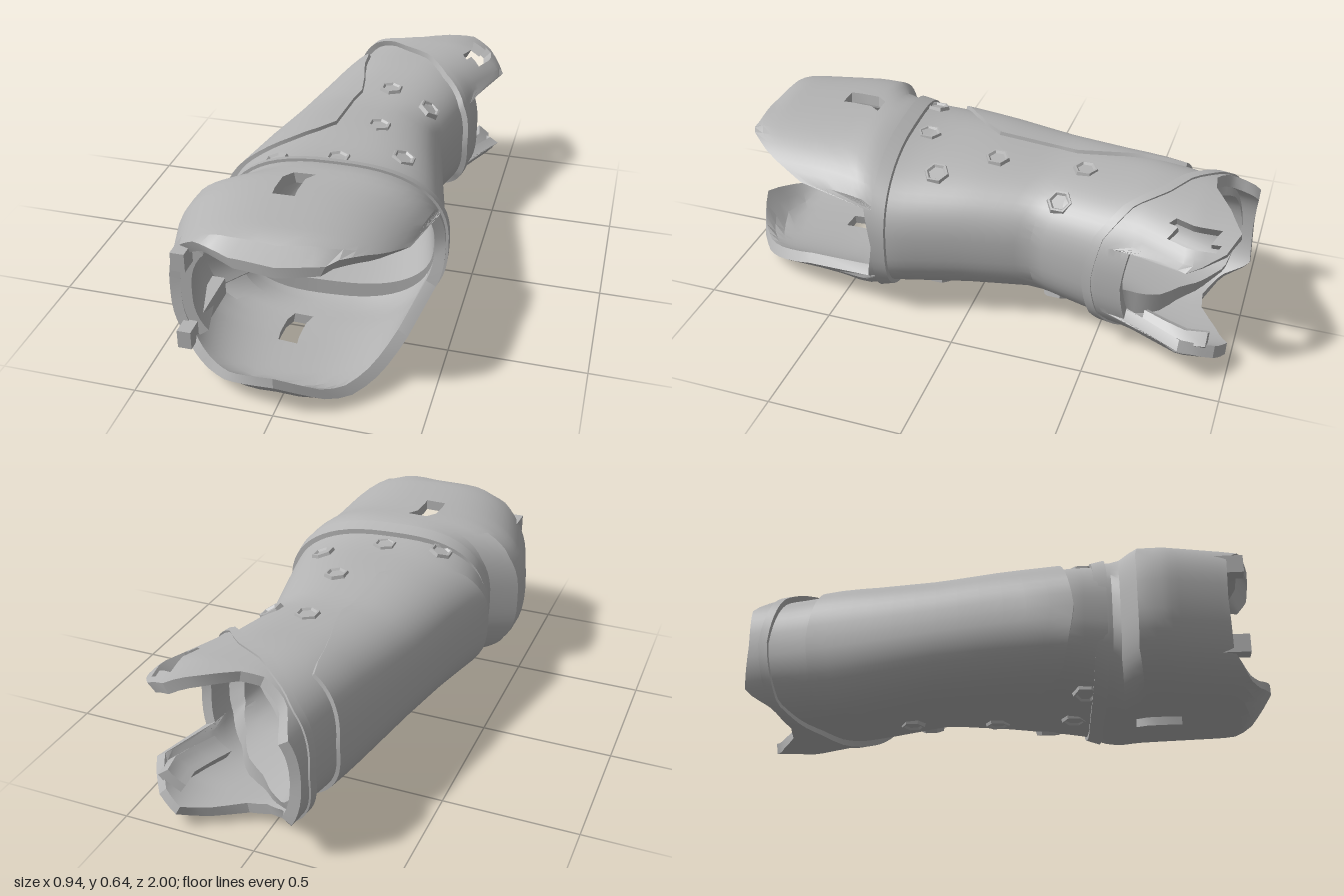
import * as THREE from 'three';
import { toCreasedNormals } from 'three/addons/utils/BufferGeometryUtils.js';

const POWER = 2.6; // squareness of the oval cross-section
const lerpTable = (rows, t) => {
  if (t <= rows[0][0]) return rows[0].slice(1);
  for (let i = 1; i < rows.length; i++) {
    const a = rows[i - 1], b = rows[i];
    if (t <= b[0]) return a.slice(1).map((v, k) => v + (b[k + 1] - v) * (t - a[0]) / (b[0] - a[0]));
  }
  return rows[rows.length - 1].slice(1);
};

// Cross-sections: z, left edge, right edge, bottom, top
const OUTER = [
  [-1, -0.165, 0.45, 0.05, 0.59], [-0.83, -0.19, 0.485, 0.05, 0.6], [-0.62, -0.23, 0.385, 0.05, 0.6],
  [-0.5, -0.255, 0.37, 0.06, 0.59], [-0.25, -0.305, 0.315, 0.08, 0.575], [0, -0.355, 0.37, 0.07, 0.59],
  [0.25, -0.41, 0.43, 0.05, 0.59], [0.36, -0.38, 0.44, 0.03, 0.61],
];
const INNER = [
  [-1, -0.13, 0.42, 0.09, 0.55], [-0.85, -0.14, 0.44, 0.12, 0.53], [-0.5, -0.19, 0.28, 0.19, 0.47],
  [-0.25, -0.24, 0.265, 0.18, 0.48], [0, -0.28, 0.32, 0.15, 0.5], [0.36, -0.33, 0.41, 0.12, 0.54],
];
const CUP = [
  [0.28, -0.38, 0.44, 0.045, 0.6], [0.38, -0.37, 0.45, 0.01, 0.635], [0.43, -0.36, 0.44, 0.003, 0.64],
  [0.5, -0.48, 0.435, 0, 0.64], [0.6, -0.48, 0.425, 0, 0.64], [0.83, -0.415, 0.42, 0.01, 0.64],
  [0.89, -0.4, 0.41, 0.015, 0.635], [0.94, -0.39, 0.4, 0.05, 0.56], [1, -0.38, 0.39, 0.12, 0.54],
];
// Edge lines: angle in degrees (0 = model's left, 90 = top), z
const CUP_FRONT = [
  [0, 0.33], [24, 0.36], [30, 0.63], [45, 0.78], [60, 0.88], [72, 0.92], [90, 0.94], [108, 0.93], [125, 0.9],
  [140, 0.86], [150, 0.83], [180, 0.82], [210, 0.83], [220, 0.86], [235, 0.9], [250, 0.95], [270, 1],
  [288, 0.94], [300, 0.88], [315, 0.78], [330, 0.63], [336, 0.36], [360, 0.33],
];
const fold = (rows) => (a) => lerpTable(rows, a > 180 ? 360 - a : a)[0];
const cuffBack = fold([
  [0, -0.6], [24, -0.62], [30, -0.83], [36, -0.88], [48, -0.95], [66, -0.985], [84, -0.93], [96, -0.86],
  [108, -0.85], [130, -0.9], [148, -1], [180, -0.99],
]);
const cuffLine = fold([[0, -0.46], [30, -0.49], [60, -0.57], [90, -0.71], [110, -0.8], [135, -0.88], [180, -0.92]]);
const panelBack = fold([[90, -0.2], [100, -0.4], [112, -0.55], [124, -0.72], [180, -0.76]]);
const panelFront = fold([[90, -0.08], [100, 0.04], [115, 0.14], [135, 0.22], [180, 0.27]]);
const strapLine = (a) => 0.335 - 0.035 * Math.cos(a * Math.PI / 180);

function ovalPoint([x0, x1, y0, y1], deg, z, offset) {
  const r = deg * Math.PI / 180, c = Math.cos(r), s = Math.sin(r);
  const bend = (v) => Math.sign(v) * Math.abs(v) ** (2 / POWER);
  return [
    (x0 + x1) / 2 + ((x1 - x0) / 2 + offset) * bend(c),
    (y0 + y1) / 2 + ((y1 - y0) / 2 + offset) * bend(s), z];
}

// Thick curved sheet between two edge lines; cells inside a hole are left out and walled
function shell({ back, front, section = OUTER, inner = section, out = 0, thick = 0, from = 0, to = 360, rows = 10, hole = () => false }) {
  const step = 6, cols = Math.round((to - from) / step), pos = [];
  const zAt = (i, j) => {
    const a = from + i * step;
    return back(a) + (front(a) - back(a)) * j / rows;
  };
  const point = (i, j, side) => {
    const z = zAt(i, j), a = from + i * step;
    return side ? ovalPoint(lerpTable(inner, z), a, z, out - thick) : ovalPoint(lerpTable(section, z), a, z, out);
  };
  const quad = (a, b, c, d) => pos.push(...a, ...b, ...c, ...a, ...c, ...d);
  const wrap = to - from === 360;
  const solid = (i, j) => {
    if (wrap) i = (i + cols) % cols;
    if (i < 0 || j < 0 || i >= cols || j >= rows) return false;
    return !hole(from + (i + 0.5) * step, (zAt(i, j) + zAt(i + 1, j + 1)) / 2);
  };
  for (let i = 0; i < cols; i++) for (let j = 0; j < rows; j++) {
    if (!solid(i, j)) continue;
    const corners = [[i, j], [i + 1, j], [i + 1, j + 1], [i, j + 1]];
    const o = corners.map(([u, v]) => point(u, v, 0)), n = corners.map(([u, v]) => point(u, v, 1));
    quad(...o);
    quad(n[3], n[2], n[1], n[0]);
    [[i, j - 1], [i + 1, j], [i, j + 1], [i - 1, j]].forEach(([u, v], k) => {
      const m = (k + 1) % 4;
      if (!solid(u, v)) quad(o[k], n[k], n[m], o[m]);
    });
  }
  const geo = new THREE.BufferGeometry();
  geo.setAttribute('position', new THREE.Float32BufferAttribute(pos, 3));
  return toCreasedNormals(geo, 0.4);
}

export function createModel() {
  const group = new THREE.Group();
  const grey = new THREE.MeshStandardMaterial({ color: 0xb4b4b4, side: THREE.DoubleSide });
  grey.name = 'grey';
  const add = (name, geo) => {
    const mesh = new THREE.Mesh(geo, grey);
    mesh.name = name;
    group.add(mesh);
    return mesh;
  };

  // Main hollow sleeve
  add('sleeve', shell({ back: (a) => cuffLine(a) - 0.03, front: (a) => strapLine(a) + 0.02, inner: INNER, rows: 16 }));

  // Raised panel along the right flank
  add('sidePanel', shell({ back: panelBack, front: panelFront, out: 0.014, thick: 0.03, from: 96, to: 264, rows: 12 }));

  // Front cup with upper and lower tongues whose tips turn inward, open on the left
  add('frontCup', shell({
    back: (a) => strapLine(a) - 0.02, front: (a) => lerpTable(CUP_FRONT, a)[0], section: CUP, thick: 0.04, rows: 16,
    hole: (a, z) => a > 90 && a < 96 && z > 0.47 && z < 0.62 || a > 264 && a < 270 && z > 0.5 && z < 0.64,
  }));

  // Band where the cup meets the sleeve
  add('frontBand', shell({
    back: (a) => strapLine(a) - 0.025, front: (a) => strapLine(a) + 0.025, section: CUP, out: 0.01, thick: 0.04, rows: 2,
  }));

  // Padding and two straight rails inside the cup's closed wall
  add('cupPadding', shell({
    back: () => 0.4, front: () => 0.82, section: CUP, out: -0.03, thick: 0.05, from: 144, to: 216, rows: 6,
  }));
  for (const y of [0.485, 0.165]) add('cupRail', new THREE.BoxGeometry(0.05, 0.07, 0.34)).position.set(-0.35, y, 0.72);

  // Rear cuff with an upper and a lower lobe
  add('rearCuff', shell({
    back: cuffBack, front: cuffLine, out: 0.015, thick: 0.04, rows: 12,
    hole: (a, z) => a > 48 && a < 66 && z > -0.91 && z < -0.76,
  }));

  // Thick padding inside the lower lobe
  add('lowerLobePad', shell({
    back: () => -0.92, front: () => -0.68, out: -0.015, thick: 0.05, from: 300, to: 324, rows: 3,
  }));

  // Raised edge of the cuff
  add('rearBand', shell({
    back: (a) => cuffLine(a) - 0.03, front: (a) => cuffLine(a) + 0.005, out: 0.022, thick: 0.03, rows: 2,
  }));

  // Six-sided eyelets on the top and underside
  const profile = [[0.052, -0.015], [0.045, 0.01], [0.037, 0.01], [0.03, 0.002], [0, 0.002]];
  const eyelet = new THREE.LatheGeometry(profile.map(([x, y]) => new THREE.Vector2(x, y)), 6).toNonIndexed();
  eyelet.computeVertexNormals();
  const spots = [[0.07, -0.38], [0.24, -0.33], [0.1, -0.05], [0.24, 0.14], [0.02, 0.25], [-0.2, 0.3]];
  for (const side of [1, -1]) for (const [x, z] of spots) {
    const [x0, x1, y0, y1] = lerpTable(OUTER, z);
    const a = (x1 - x0) / 2, b = (y1 - y0) / 2, u = (x - (x0 + x1) / 2) / a;
    const v = (1 - Math.abs(u) ** POWER) ** (1 / POWER);
    const normal = new THREE.Vector3(
      Math.sign(u) * Math.abs(u) ** (POWER - 1) / a, side * v ** (POWER - 1) / b, 0).normalize();
    const mesh = add(side > 0 ? 'topEyelet' : 'bottomEyelet', eyelet);
    mesh.position.set(x, (y0 + y1) / 2 + side * b * v, z);
    mesh.quaternion.setFromUnitVectors(new THREE.Vector3(0, 1, 0), normal);
  }
  return group;
}
